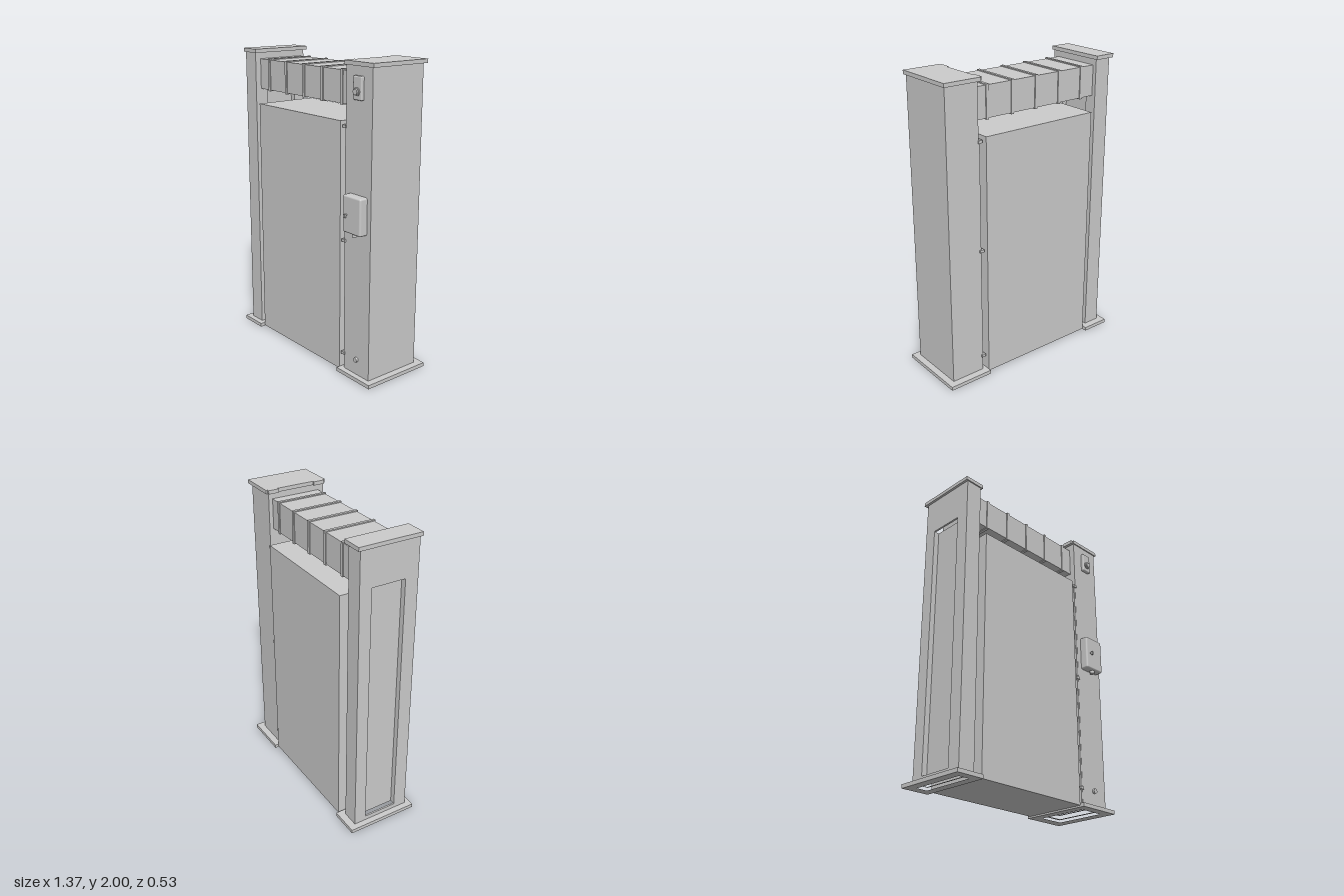
import * as THREE from 'three';
import { RoundedBoxGeometry } from 'three/addons/geometries/RoundedBoxGeometry.js';

const mat = new THREE.MeshStandardMaterial({ color: 0xcccccc, flatShading: true });
const smooth = new THREE.MeshStandardMaterial({ color: 0xcccccc });

export function createModel() {
  const root = new THREE.Group();

  const add = (name, geo, parent = root, m = mat) => {
    const mesh = new THREE.Mesh(geo, m);
    mesh.name = name;
    parent.add(mesh);
    return mesh;
  };
  // box from its limits
  const box = (name, x0, x1, y0, y1, z0, z1, parent) => {
    const mesh = add(name, new THREE.BoxGeometry(x1 - x0, y1 - y0, z1 - z0), parent);
    mesh.position.set((x0 + x1) / 2, (y0 + y1) / 2, (z0 + z1) / 2);
    return mesh;
  };
  // round part pointing to the front
  const knob = (name, r, x, y, z0, z1, parent) => {
    const geo = new THREE.CylinderGeometry(r, r, z1 - z0, 24).rotateX(Math.PI / 2);
    add(name, geo, parent, smooth).position.set(x, y, (z0 + z1) / 2);
  };
  const group = (name) => {
    const g = new THREE.Group();
    g.name = name;
    root.add(g);
    return g;
  };

  // plan outline of a post, recessed by l and r on its two sides; t insets it
  const outline = (x0, x1, l, r, t, z0 = -0.217, z1 = 0.185) => {
    const a = -0.135 - t, b = 0.095 + t;
    x0 += t; x1 -= t; z0 += t; z1 -= t;
    const p = [[x0, z0], [x1, z0]];
    if (r) p.push([x1, a], [x1 - r, a], [x1 - r, b], [x1, b]);
    p.push([x1, z1], [x0, z1]);
    if (l) p.push([x0, b], [x0 + l, b], [x0 + l, a], [x0, a]);
    // plan y is -z, so reversed in sign for the upright extrusion
    return p.map(([x, z]) => new THREE.Vector2(x, -z));
  };
  const raise = (name, outer, inner, y0, y1, parent) => {
    const shape = new THREE.Shape(outer);
    if (inner) shape.holes.push(new THREE.Path(inner));
    const geo = new THREE.ExtrudeGeometry(shape, { depth: y1 - y0, bevelEnabled: false });
    add(name, geo.rotateX(-Math.PI / 2), parent).position.y = y0;
  };

  // hollow post with recessed sides, foot frame and cap
  const post = (name, x0, x1, l, r, t, foot, cap) => {
    const g = group(name);
    const sections = [[0.025, 0.055, 0, 0], [0.055, 1.73, l, r], [1.73, 1.975, 0, 0]];
    for (const [y0, y1, sl, sr] of sections)
      raise('postShell', outline(x0, x1, sl, sr, 0), outline(x0, x1, sl, sr, t), y0, y1, g);
    raise('footFrame', outline(foot[0], foot[1], 0, 0, 0, -0.265, 0.222),
      outline(x0, x1, 0, 0, t + 0.008), 0, 0.025, g);
    box('cap', cap[0], cap[1], 1.975, 2, -0.238, 0.193, g);
    return g;
  };
  post('narrowPost', -0.645, -0.53, 0.037, 0.037, 0.012, [-0.685, -0.49], [-0.66, -0.517]);
  const wide = post('widePost', 0.41, 0.64, 0, 0, 0.02, [0.375, 0.685], [0.402, 0.655]);

  // cap lips on the inner side of the wide post
  for (const [z0, z1] of [[-0.226, -0.155], [0.105, 0.181]])
    box('capLip', 0.388, 0.402, 1.975, 2, z0, z1, wide);

  // inner cover of the wide post, held by clips front and back
  box('innerCover', 0.401, 0.41, 0.025, 1.62, -0.215, 0.183, wide);
  for (const y of [0.13, 0.895, 1.61])
    for (const [z0, z1, f0, f1] of [[0.15, 0.194, 0.185, 0.194], [-0.226, -0.182, -0.226, -0.217]]) {
      box('clip', 0.386, 0.401, y - 0.009, y + 0.009, z0, z1, wide);
      box('clipFoot', 0.386, 0.415, y - 0.009, y + 0.009, f0, f1, wide);
    }

  // gate panel
  box('gatePanel', -0.48, 0.372, 0.01, 1.64, -0.242, 0.195);

  // crossbeam with ribs running round it
  const beam = group('crossbeam');
  box('beam', -0.53, 0.41, 1.733, 1.934, -0.19, 0.145, beam);
  for (let i = 0; i < 5; i++) {
    const x = -0.425 + i * 0.1872;
    box('rib', x - 0.01, x + 0.01, 1.726, 1.941, -0.196, 0.151, beam);
  }

  // push button on its plate
  const button = group('pushButton');
  const plate = add('buttonPlate', new RoundedBoxGeometry(0.076, 0.14, 0.03, 3, 0.008), button, smooth);
  plate.position.set(0.528, 1.85, 0.191);
  knob('buttonRing', 0.025, 0.528, 1.83, 0.2, 0.213, button);
  knob('buttonHead', 0.018, 0.528, 1.83, 0.213, 0.223, button);

  // control box with latch and cable gland
  const control = group('controlBox');
  const body = add('boxBody', new RoundedBoxGeometry(0.16, 0.235, 0.07, 4, 0.012), control, smooth);
  body.position.set(0.527, 1.093, 0.205);
  knob('latchPin', 0.005, 0.484, 1.09, 0.235, 0.262, control);
  box('latchHandle', 0.479, 0.489, 1.074, 1.097, 0.25, 0.262, control);
  add('cableGland', new THREE.CylinderGeometry(0.016, 0.016, 0.03, 20), control, smooth)
    .position.set(0.527, 0.971, 0.213);

  // plug near the foot
  knob('plug', 0.016, 0.527, 0.13, 0.18, 0.2);

  return root;
}
